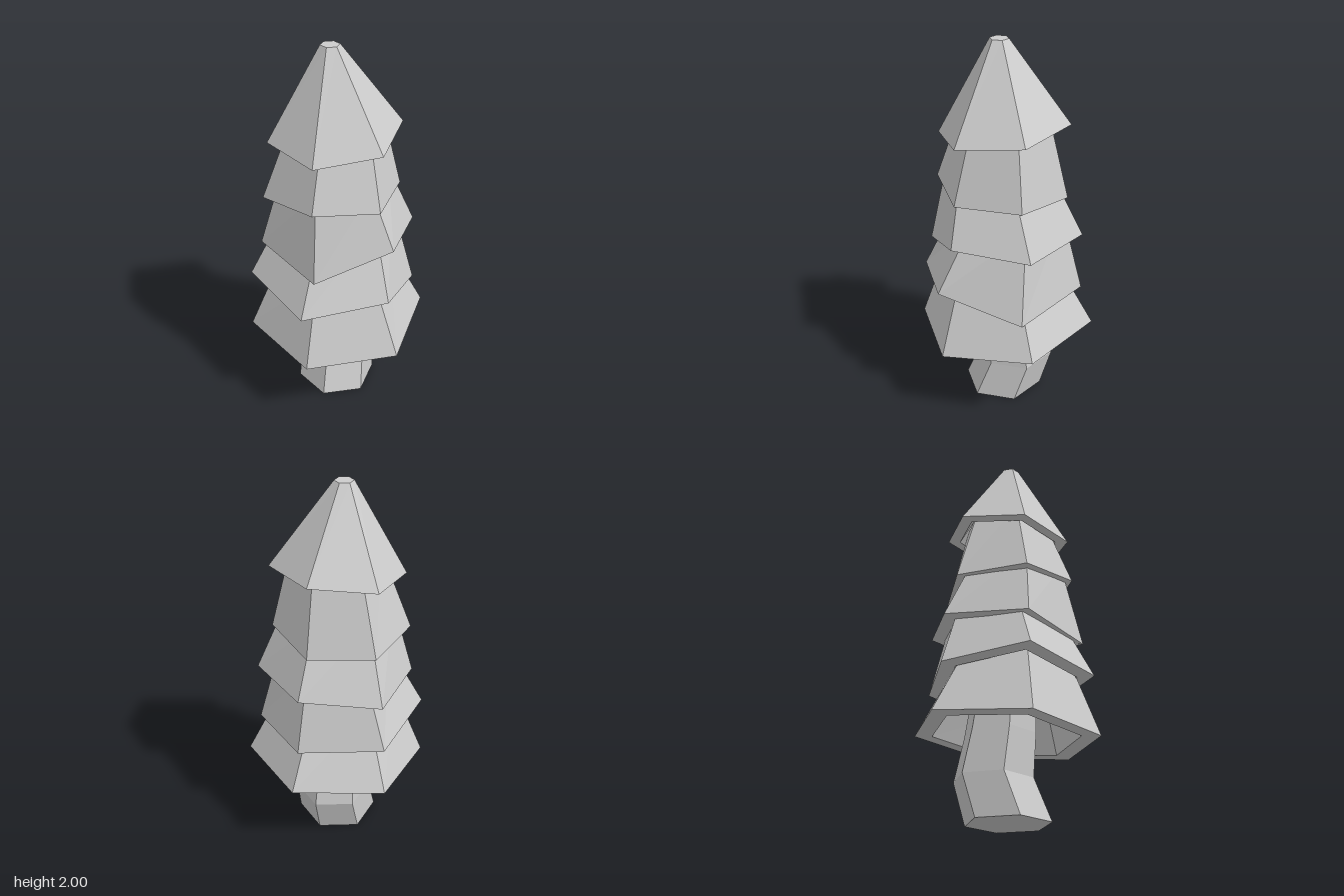
import * as THREE from 'three';

const SIDES = 6;

// Hexagonal ring, one corner towards +z, listed counter-clockwise from above
function ring(cx, cy, cz, r) {
  return Array.from({ length: SIDES }, (_, i) => {
    const a = (i * Math.PI * 2) / SIDES;
    return new THREE.Vector3(cx + r * Math.sin(a), cy, cz + r * Math.cos(a));
  });
}

// Joins successive rings with quads and closes both ends with fans
function loft(rings) {
  const pos = [];
  const tri = (a, b, c) => pos.push(...a.toArray(), ...b.toArray(), ...c.toArray());
  for (let k = 0; k < rings.length - 1; k++) {
    const a = rings[k], b = rings[k + 1];
    for (let i = 0; i < SIDES; i++) {
      const j = (i + 1) % SIDES;
      tri(a[i], a[j], b[j]);
      tri(a[i], b[j], b[i]);
    }
  }
  const first = rings[0], last = rings[rings.length - 1];
  for (let i = 1; i < SIDES - 1; i++) {
    tri(first[0], first[i + 1], first[i]);
    tri(last[0], last[i], last[i + 1]);
  }
  const geo = new THREE.BufferGeometry();
  geo.setAttribute('position', new THREE.Float32BufferAttribute(pos, 3));
  geo.computeVertexNormals();
  return geo;
}

// Corner by corner blend of two rings
const blend = (a, b, t) => a.map((p, i) => p.clone().lerp(b[i], t));

// Ring pulled in towards its own centre
function inset(r, s) {
  const c = r.reduce((sum, p) => sum.add(p), new THREE.Vector3()).divideScalar(SIDES);
  return r.map((p) => c.clone().lerp(p, s));
}

// Foliage tiers: uneven lower rim [x, y, z] from the front corner round to +x, then top [x, y, z, radius]
const TIERS = [
  { rim: [[0, 0.4, 0.48], [0.415, 0.415, 0.24], [0.415, 0.455, -0.24], [0, 0.475, -0.48], [-0.415, 0.455, -0.24], [-0.415, 0.418, 0.24]],
    top: [0, 0.85, 0.03, 0.29] },
  { rim: [[-0.03, 0.7, 0.465], [0.365, 0.77, 0.265], [0.375, 0.645, -0.175], [0, 0.69, -0.412], [-0.39, 0.705, -0.21], [-0.405, 0.755, 0.23]],
    top: [0, 1.12, -0.02, 0.28] },
  { rim: [[0.02, 0.9, 0.407], [0.36, 1.033, 0.19], [0.35, 1.0, -0.21], [-0.005, 1.005, -0.405], [-0.372, 0.965, -0.21], [-0.345, 0.952, 0.21]],
    top: [0, 1.35, 0.04, 0.27] },
  { rim: [[0, 1.263, 0.366], [0.287, 1.237, 0.19], [0.287, 1.235, -0.15], [-0.01, 1.205, -0.32], [-0.31, 1.21, -0.17], [-0.328, 1.215, 0.2]],
    top: [0.005, 1.65, 0.005, 0.22] },
  { rim: [[0, 1.505, 0.35], [0.29, 1.54, 0.18], [0.285, 1.575, -0.163], [-0.02, 1.597, -0.323], [-0.305, 1.56, -0.15], [-0.298, 1.52, 0.185]],
    top: [-0.024, 1.997, 0.037, 0.048] },
];

export function createModel() {
  const tree = new THREE.Group();
  tree.name = 'tree';
  const material = new THREE.MeshStandardMaterial({ color: 0xcccccc, flatShading: true });

  const add = (name, geometry) => {
    const mesh = new THREE.Mesh(geometry, material);
    mesh.name = name;
    tree.add(mesh);
  };

  // Kinked trunk
  add('trunk', loft([
    ring(-0.003, 0, 0.015, 0.215),
    ring(-0.012, 0.215, -0.057, 0.203),
    ring(-0.008, 0.44, -0.025, 0.185),
    ring(-0.005, 0.75, 0, 0.16),
  ]));

  // Tilted tiers, each hollowed from below behind a flat rim
  TIERS.forEach(({ rim, top }, i) => {
    const outer = rim.map((p) => new THREE.Vector3(...p));
    const crown = ring(...top);
    const ceiling = inset(blend(outer, crown, 0.45), 0.78);
    add(`foliageTier${i + 1}`, loft([ceiling, inset(outer, 0.8), outer, crown]));
  });

  return tree;
}
